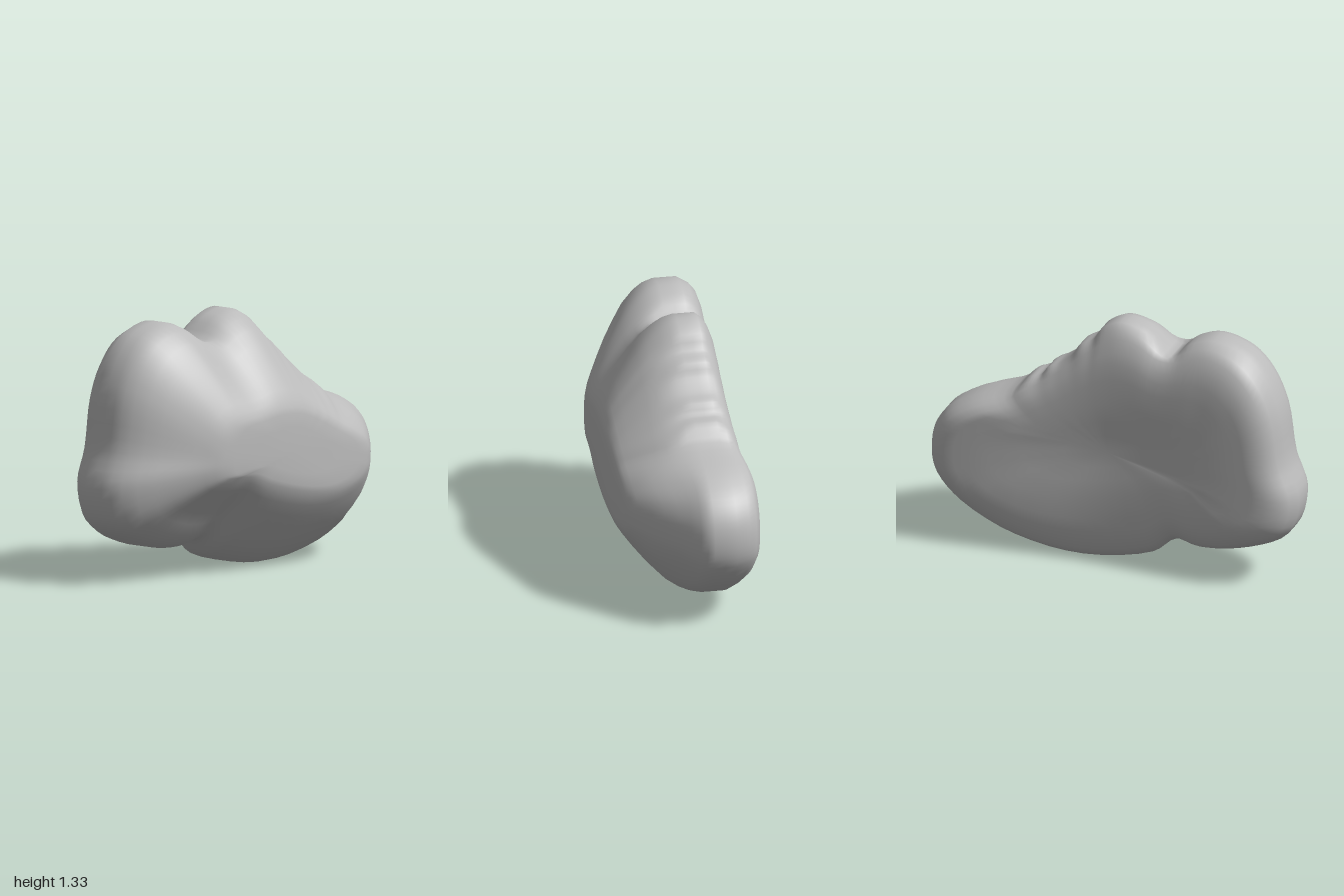
import * as THREE from 'three';
import { mergeVertices } from 'three/addons/utils/BufferGeometryUtils.js';

// Outer silhouette x, y, followed by the matching point on the front plateau edge
const OUTLINE = [
  [1.0, 0.48, 0.61, 0.52], [0.98, 0.61, 0.61, 0.57], [0.91, 0.715, 0.58, 0.62], [0.77, 0.8, 0.5, 0.67],
  [0.55, 0.875, 0.39, 0.72], [0.47, 0.95, 0.35, 0.74], [0.41, 0.97, 0.31, 0.76], [0.37, 1.02, 0.28, 0.775],
  [0.31, 1.05, 0.24, 0.79], [0.24, 1.11, 0.2, 0.81], [0.2, 1.17, 0.17, 0.82], [0.13, 1.21, 0.13, 0.835],
  [0.08, 1.28, 0.08, 0.85], [-0.02, 1.33, 0.0, 0.86], [-0.16, 1.295, -0.11, 0.86], [-0.3, 1.19, -0.23, 0.84],
  [-0.4, 1.27, -0.33, 0.83], [-0.53, 1.31, -0.4, 0.81], [-0.7, 1.26, -0.45, 0.77], [-0.81, 1.15, -0.475, 0.73],
  [-0.89, 0.97, -0.49, 0.68], [-0.935, 0.69, -0.5, 0.63], [-0.998, 0.5, -0.5, 0.58], [-0.94, 0.3, -0.48, 0.54],
  [-0.73, 0.19, -0.43, 0.53], [-0.47, 0.145, -0.36, 0.53], [-0.33, 0.17, -0.28, 0.52], [-0.2, 0.075, -0.15, 0.47],
  [0.18, 0.0, 0.16, 0.4], [0.55, 0.055, 0.38, 0.39], [0.84, 0.21, 0.54, 0.43], [0.97, 0.36, 0.6, 0.48],
];
const CENTRE = new THREE.Vector3(0.02, 0.63, 0);

// Rings from back to front: blend to the plateau edge, blend to the centre, depth
const RINGS = [
  [1, 1, -0.32], [1, 0.6, -0.323], [1, 0.25, -0.33], [0.9, 0, -0.335], [0.6, 0, -0.333], [0.42, 0, -0.326],
  [0.28, 0, -0.313], [0.14, 0, -0.285], [0.06, 0, -0.25], [0, 0, -0.2], [0, 0, -0.14], [0, 0, -0.08],
  [0.03, 0, -0.03], [0.09, 0, 0.02], [0.2, 0, 0.08], [0.35, 0, 0.135], [0.5, 0, 0.185], [0.67, 0, 0.24],
  [0.82, 0, 0.285], [0.92, 0, 0.31], [1, 0.02, 0.325], [1, 0.15, 0.333], [1, 0.45, 0.337], [1, 1, 0.338],
];

const { smoothstep } = THREE.MathUtils;
const bump = (x, c, w) => Math.exp(-(((x - c) / w) ** 2));

function depth({ x, y }, z) {
  if (z < -0.14) {
    // Fuller rim at both ends, shallow hollow across the back
    const rim = 0.025 * smoothstep(Math.abs(x), 0.45, 0.8) * smoothstep(y, 0.1, 0.4) * smoothstep(-z, 0.2, 0.28);
    return Math.max(-0.338, z - rim) + 0.048 * bump(x, 0.08, 0.5) * smoothstep(-z, 0.14, 0.32);
  }
  // Recess above the small lower lobe, straight taper of the tail, sideways curve of the front
  const recess = 0.04 * bump(x, -0.52, 0.28) * bump(y, 0.34, 0.15) * smoothstep(z, 0, 0.12);
  const taper = 0.055 * smoothstep(x, 0.6, 0.85) * smoothstep(z, -0.1, 0.1);
  return z - recess - taper - 0.07 * (x + 0.03) ** 2 * smoothstep(z, 0.18, 0.33);
}

function bodyGeometry() {
  const curve = (k) => new THREE.CatmullRomCurve3(
    OUTLINE.map((p) => new THREE.Vector3(p[k], p[k + 1], 0)), true, 'centripetal');
  const outer = curve(0), inner = curve(2), n = OUTLINE.length * 4;
  const edge = Array.from({ length: n }, (_, i) => outer.getPoint(i / n));

  // Outline with the steps of the upper edge and the notch averaged away
  const softened = edge.map((p, i) => {
    const mean = new THREE.Vector3();
    for (let k = -9; k <= 9; k++) mean.addScaledVector(edge[(i + k + n) % n], 1 / 19);
    const amount = Math.min(1, bump(p.x, 0.32, 0.24) + 0.5 * bump(p.x, -0.3, 0.1));
    return p.clone().lerp(mean, amount * smoothstep(p.y, 0.78, 0.92));
  });

  const positions = [], index = [];
  RINGS.forEach(([t, s, z], r) => {
    const soft = smoothstep(t, 0, 0.12);
    for (let i = 0; i < n; i++) {
      const p = edge[i].clone().lerp(softened[i], soft).lerp(inner.getPoint(i / n), t).lerp(CENTRE, s);
      positions.push(p.x, p.y, depth(p, z));
      if (r === RINGS.length - 1) continue;
      const a = r * n + i, b = r * n + (i + 1) % n;
      // The first and last bands are fans around the poles
      if (r > 0) index.push(a, b, a + n);
      if (r < RINGS.length - 2) index.push(b, b + n, a + n);
    }
  });
  const geometry = new THREE.BufferGeometry();
  geometry.setAttribute('position', new THREE.Float32BufferAttribute(positions, 3));
  geometry.setIndex(index);
  const merged = mergeVertices(geometry, 1e-5);
  merged.computeVertexNormals();
  return merged;
}

export function createModel() {
  const grey = new THREE.MeshStandardMaterial({ color: 0xbbbbbb });
  grey.name = 'plain grey';
  const body = new THREE.Mesh(bodyGeometry(), grey);
  body.name = 'lobedBody';
  const model = new THREE.Group();
  model.name = 'lobedForm';
  model.add(body);
  return model;
}
